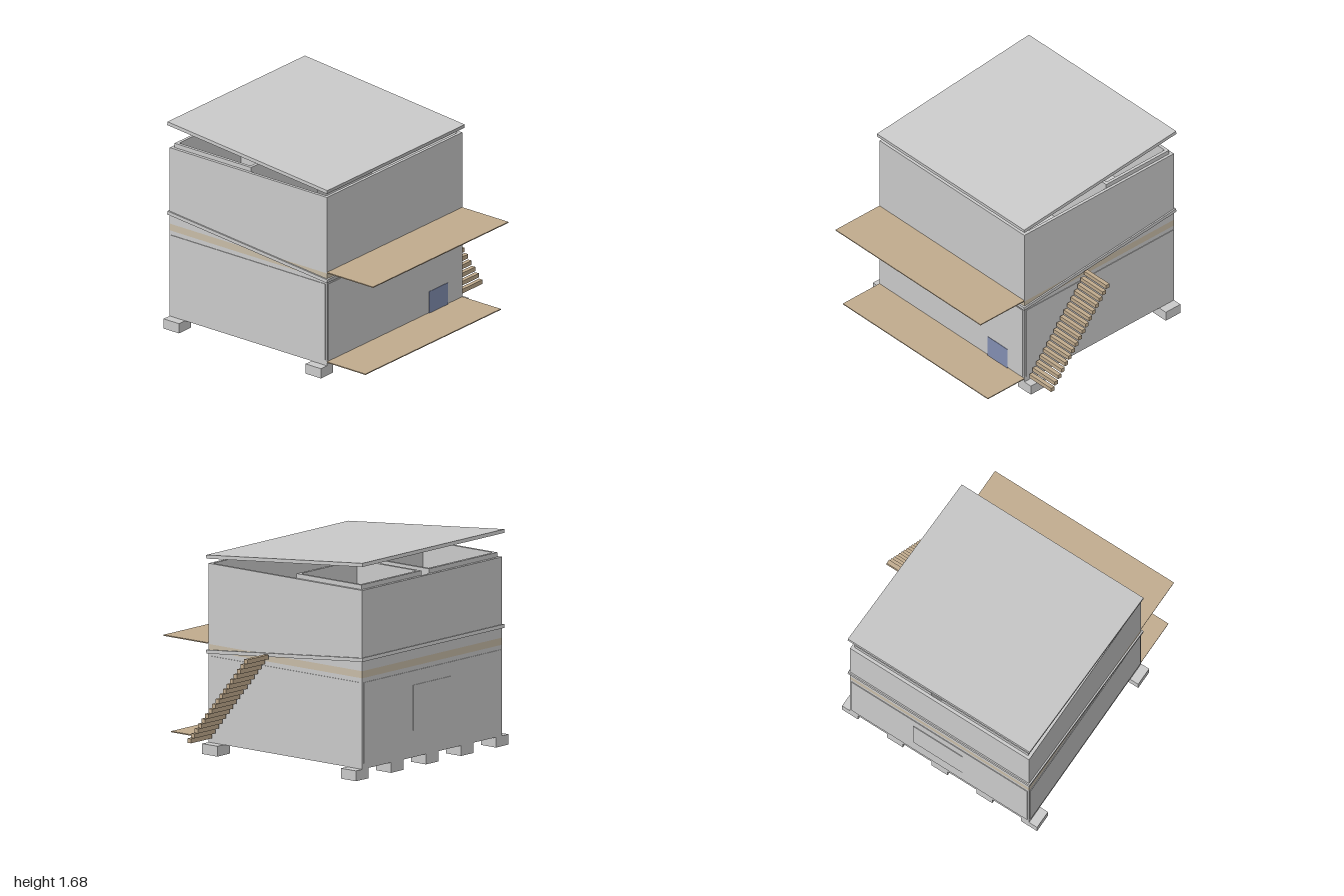
import * as THREE from 'three';

const grey = new THREE.MeshStandardMaterial({ color: 0xcccccc });
const wood = new THREE.MeshStandardMaterial({ color: 0xc2ac8e });
const paleWood = new THREE.MeshStandardMaterial({ color: 0xc9bda8 });
const blue = new THREE.MeshStandardMaterial({ color: 0x8490b4 });

// Footprint of the house
const X0 = -0.915, X1 = 0.712, Z0 = -0.985, Z1 = 0.55;
const CX = (X0 + X1) / 2, CZ = (Z0 + Z1) / 2;

// Box given by its limits on each axis
function box(parent, name, [x0, x1], [y0, y1], [z0, z1], mat = grey) {
  const mesh = new THREE.Mesh(new THREE.BoxGeometry(x1 - x0, y1 - y0, z1 - z0), mat);
  mesh.position.set((x0 + x1) / 2, (y0 + y1) / 2, (z0 + z1) / 2);
  mesh.name = name;
  parent.add(mesh);
  return mesh;
}

// Rectangular ring of walls, open above and below
function wallRing(parent, name, [x0, x1], [y0, y1], [z0, z1], t = 0.025) {
  const shape = new THREE.Shape([[x0, -z1], [x1, -z1], [x1, -z0], [x0, -z0]]
    .map(p => new THREE.Vector2(...p)));
  shape.holes.push(new THREE.Path([[x0 + t, -z1 + t], [x0 + t, -z0 - t], [x1 - t, -z0 - t], [x1 - t, -z1 + t]]
    .map(p => new THREE.Vector2(...p))));
  const geo = new THREE.ExtrudeGeometry(shape, { depth: y1 - y0, bevelEnabled: false });
  geo.rotateX(-Math.PI / 2);
  const mesh = new THREE.Mesh(geo, grey);
  mesh.position.y = y0;
  mesh.name = name;
  parent.add(mesh);
}

export function createModel() {
  const house = new THREE.Group();
  house.name = 'house';

  // Foundation blocks in two rows, with joists between them
  const foundation = new THREE.Group();
  foundation.name = 'foundation';
  house.add(foundation);
  for (let i = 0; i < 5; i++) {
    const x = X0 + (i * (X1 - X0)) / 4;
    for (const z of [Z0, Z1 - 0.15])
      box(foundation, 'foundationBlock', [x - 0.073, x + 0.073], [0, 0.08], [z, z + 0.15]);
  }
  for (const x of [-0.35, 0.37])
    box(foundation, 'floorJoist', [x - 0.02, x + 0.02], [0.08, 0.11], [Z0 + 0.025, Z1 - 0.025]);

  // Two storeys with the intermediate floor
  wallRing(house, 'lowerWalls', [X0, X1], [0.08, 0.785], [Z0, Z1]);
  box(house, 'upperFloor', [X0, X1], [0.785, 0.84], [Z0, Z1], paleWood);
  wallRing(house, 'upperWalls', [X0, X1], [0.84, 1.465], [Z0, Z1]);

  // Thin cladding on the lower storey
  const e = 0.005, inset = 0.015, cladY = [0.125, 0.75];
  for (const z of [Z0, Z1])
    box(house, 'endCladding', [X0 + inset, X1 - inset], cladY, [z - e, z + e]);
  for (const x of [X0, X1])
    box(house, 'sideCladding', [x - e, x + e], cladY, [Z0 + inset, Z1 - inset]);
  box(house, 'backShutter', [-0.315, 0.13], [0.29, 0.64], [Z0 - 0.01, Z0]);
  box(house, 'frontHatch', [0.305, 0.53], [0.11, 0.29], [Z1, Z1 + 0.008], blue);

  // Rooms inside the upper storey, rising just above the outer walls
  wallRing(house, 'leftRoom', [-0.01, 0.69], [0.84, 1.5], [-0.957, -0.31]);
  wallRing(house, 'rightRoom', [-0.89, -0.095], [0.84, 1.5], [-0.957, -0.21]);

  // Sloping roof slabs, higher at the back
  for (const [name, y] of [['lowerRoof', 0.855], ['upperRoof', 1.59]]) {
    const roof = new THREE.Mesh(new THREE.BoxGeometry(1.652, 0.028, 1.567), grey);
    roof.position.set(CX, y, CZ);
    roof.rotation.x = Math.atan(0.15 / 1.56);
    roof.name = name;
    house.add(roof);
  }

  // Front decks
  box(house, 'lowerDeck', [X0, X1], [0.105, 0.113], [Z1, 0.925], wood);
  box(house, 'upperDeck', [X0, X1], [0.841, 0.849], [Z1, 1], wood);

  // Open outside stair
  const stairs = new THREE.Group();
  stairs.name = 'stairs';
  house.add(stairs);
  for (let i = 0; i < 17; i++) {
    const y = 0.139 + i * 0.0431, z = 0.508 - i * 0.0352;
    box(stairs, 'stairTread', [0.74, 0.985], [y - 0.017, y + 0.017], [z - 0.017, z + 0.017], wood);
  }
  return house;
}
